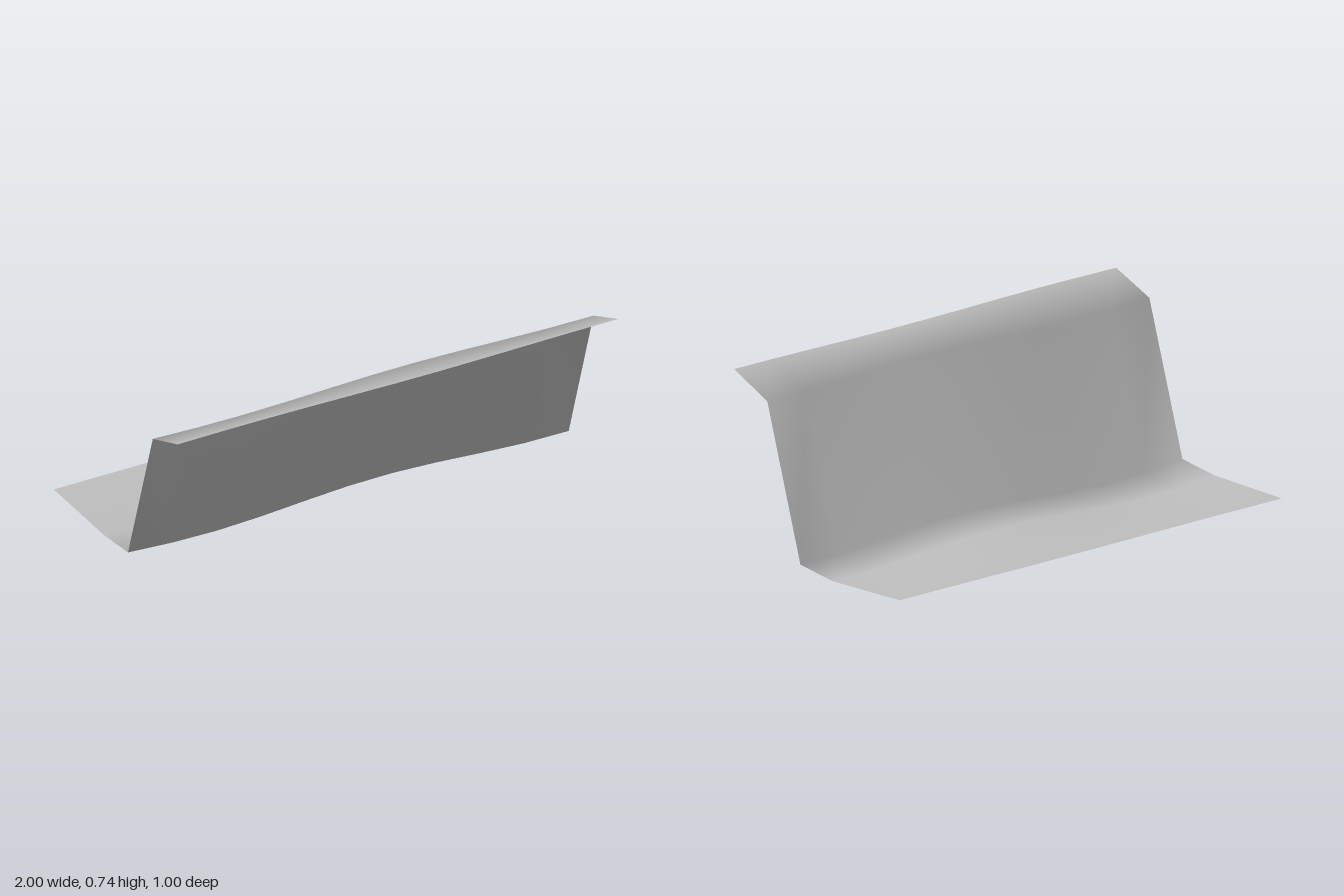
import * as THREE from 'three';

// Profile rows from back to front: z, mean height, ripple amplitude
const ROWS = [
  [-0.5, 0.022, -0.001],
  [-0.3, 0.022, 0.01],
  [-0.1, 0.0215, 0.0187],
  [0.1, 0.0415, 0.0187],
  [0.3, 0.662, 0.0085],
  [0.5, 0.7365, -0.0035],
];

export function createModel() {
  const group = new THREE.Group();
  group.name = 'bentSheet';
  const grey = new THREE.MeshStandardMaterial({ color: 0xbfbfbf, side: THREE.DoubleSide });
  grey.name = 'light grey';

  // Flat grid raised to the stepped profile, with a gentle ripple along x
  const geometry = new THREE.PlaneGeometry(2, 1, 10, ROWS.length - 1);
  geometry.rotateX(-Math.PI / 2);
  const pos = geometry.attributes.position;
  for (let i = 0; i < pos.count; i++) {
    const [z, height, ripple] = ROWS[Math.floor(i / 11)];
    const x = pos.getX(i);
    pos.setXYZ(i, x, height + ripple * Math.sin(4 * x + 1), z);
  }
  geometry.computeVertexNormals();

  const sheet = new THREE.Mesh(geometry, grey);
  sheet.name = 'sheet';
  group.add(sheet);
  return group;
}
